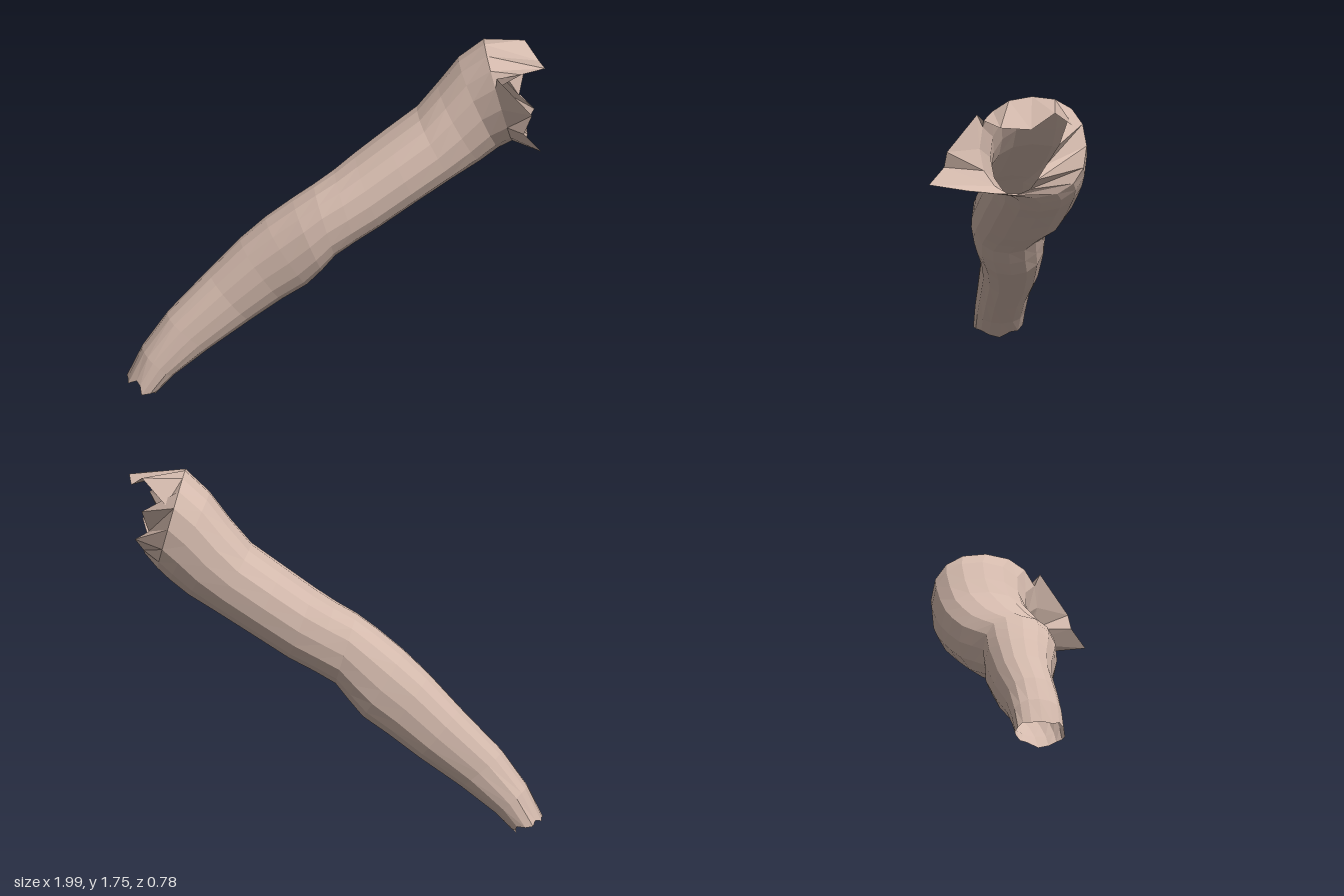
import * as THREE from 'three';

const SIDES = 16;

// Cross-sections from wrist to shoulder: upper x, y, lower x, y, back z, front z
const SECTIONS = [
  [-0.99, 0.10, -0.85, 0.04, -0.24, 0.00],
  [-0.92, 0.25, -0.77, 0.12, -0.245, 0.00],
  [-0.80, 0.42, -0.60, 0.25, -0.25, 0.00],
  [-0.60, 0.63, -0.40, 0.39, -0.275, 0.005],
  [-0.45, 0.79, -0.25, 0.50, -0.28, 0.03],
  [-0.33, 0.90, -0.13, 0.58, -0.28, 0.06],
  [-0.20, 1.00, -0.06, 0.66, -0.27, 0.085],
  [-0.10, 1.07, 0.00, 0.735, -0.26, 0.09],
  [0.00, 1.13, 0.10, 0.80, -0.30, 0.09],
  [0.10, 1.20, 0.22, 0.87, -0.345, 0.085],
  [0.25, 1.31, 0.40, 0.99, -0.37, 0.075],
  [0.40, 1.42, 0.57, 1.10, -0.38, 0.06],
  [0.50, 1.54, 0.70, 1.18, -0.39, 0.055],
  [0.60, 1.67, 0.79, 1.25, -0.395, 0.07],
  [0.72, 1.77, 0.85, 1.30, -0.385, 0.13],
];

// Ragged shoulder rim, starting at the top and running round by the front
const RIM = [
  [0.98, 1.69, -0.10], [1.00, 1.71, 0.05], [0.88, 1.71, 0.12], [0.76, 1.70, 0.14],
  [0.92, 1.57, 0.30], [0.88, 1.48, 0.31], [0.96, 1.42, 0.39], [0.92, 1.37, 0.20],
  [0.91, 1.35, 0.06], [0.92, 1.34, -0.03], [0.92, 1.37, -0.10], [0.96, 1.43, -0.13],
  [0.89, 1.48, -0.18], [0.92, 1.59, -0.24], [0.80, 1.64, -0.32], [0.92, 1.75, -0.22],
];

// Shift of each wrist point along the arm, for the torn edge
const TEAR = [0, -0.01, 0.03, 0.02, -0.02, 0, 0.01, -0.01, -0.03, 0.01, 0, 0.02, 0, -0.01, 0.01, -0.01];

// Slightly squared ellipse
const soft = (v) => Math.sign(v) * Math.abs(v) ** 0.88;

function ring([ux, uy, lx, ly, back, front], shifts) {
  return Array.from({ length: SIDES }, (_, i) => {
    const a = (i / SIDES) * Math.PI * 2;
    const c = soft(Math.cos(a)) / 2;
    const s = soft(Math.sin(a)) / 2;
    const d = shifts ? shifts[i] : 0;
    return [
      (ux + lx) / 2 + (ux - lx) * c + d * 0.6,
      (uy + ly) / 2 + (uy - ly) * c + d * 0.8,
      (back + front) / 2 + (front - back) * s,
    ];
  });
}

// Skin between successive rings, open at both ends
function loft(rings) {
  const index = [];
  for (let j = 0; j < rings.length - 1; j++) {
    for (let i = 0; i < SIDES; i++) {
      const k = (i + 1) % SIDES;
      const a = j * SIDES + i, b = j * SIDES + k;
      const c = a + SIDES, d = b + SIDES;
      index.push(a, b, c, b, d, c);
    }
  }
  const geometry = new THREE.BufferGeometry();
  geometry.setAttribute('position', new THREE.Float32BufferAttribute(rings.flat(2), 3));
  geometry.setIndex(index);
  const flat = geometry.toNonIndexed();
  flat.computeVertexNormals();
  return flat;
}

export function createModel() {
  const skin = new THREE.MeshStandardMaterial({
    color: 0xd3b9ac, flatShading: true, side: THREE.DoubleSide,
  });
  skin.name = 'skin';

  const group = new THREE.Group();
  group.name = 'arm';
  const rings = SECTIONS.map((s, j) => ring(s, j === 0 ? TEAR : null));

  // Forearm, upper arm and torn shoulder share their boundary rings
  const parts = [
    ['forearm', rings.slice(0, 8)],
    ['upperArm', rings.slice(7)],
    ['shoulderRim', [rings[rings.length - 1], RIM]],
  ];
  for (const [name, loops] of parts) {
    const mesh = new THREE.Mesh(loft(loops), skin);
    mesh.name = name;
    group.add(mesh);
  }
  return group;
}
